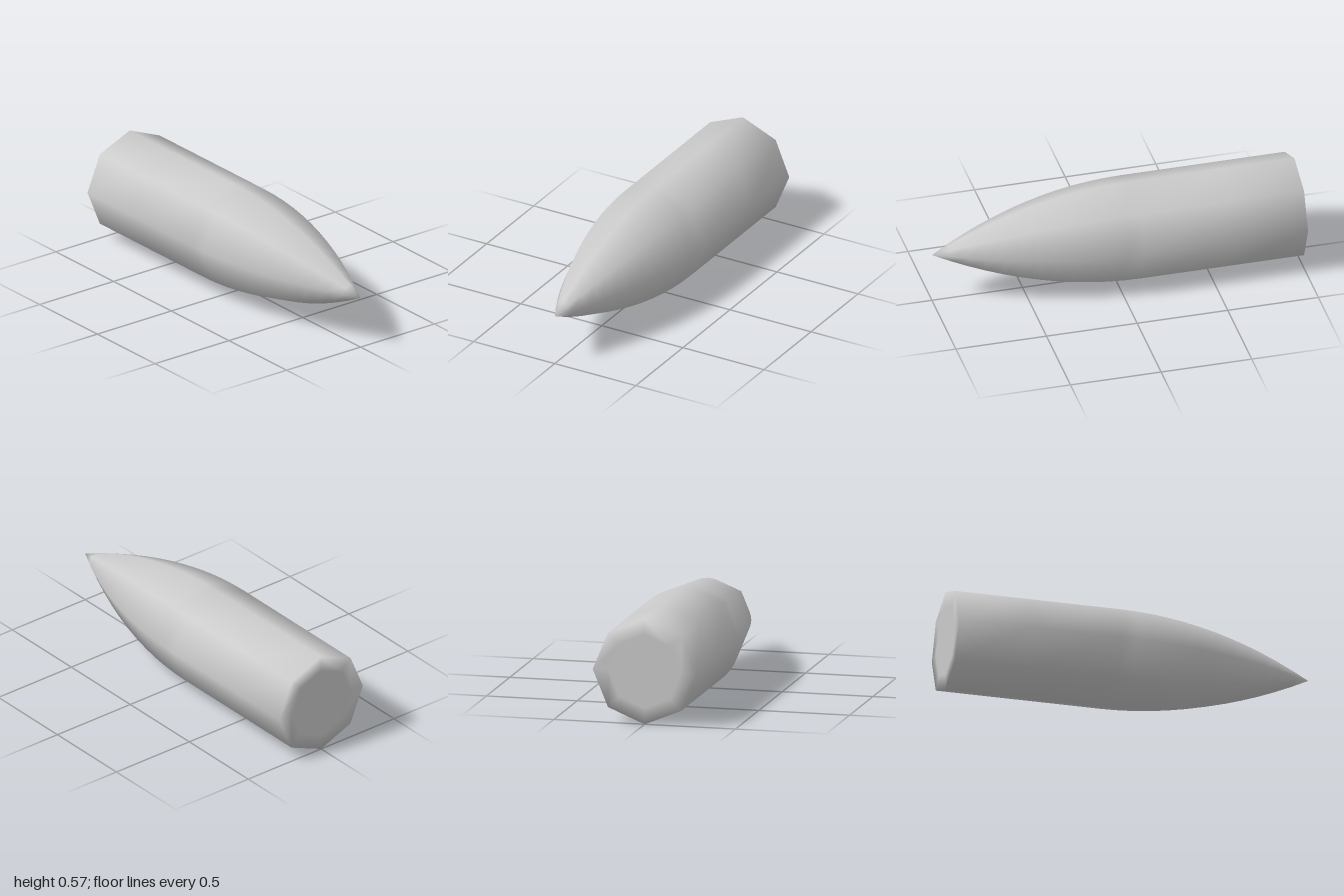
import * as THREE from 'three';
import { mergeVertices } from 'three/addons/utils/BufferGeometryUtils.js';

const R = 0.286;         // body radius
const SHOULDER = -0.1;   // z where the nose begins to taper
const SIDES = 8;
const NOSE_STEPS = 12;

export function createModel() {
  const group = new THREE.Group();
  group.name = 'bullet';

  // Profile from the centre of the flat base to the pointed tip
  const profile = [
    new THREE.Vector2(0, -1),
    new THREE.Vector2(R * 0.7, -1),
    new THREE.Vector2(R, -1),
    new THREE.Vector2(R, -0.6),
  ];
  // Curved nose, tangent to the straight body at the shoulder
  for (let i = 0; i <= NOSE_STEPS; i++) {
    const t = i / NOSE_STEPS;
    profile.push(new THREE.Vector2(R * (1 - t * t), SHOULDER + t * (1 - SHOULDER)));
  }

  // Eight-sided lathe with shared vertices, so shading flows over the base rim
  let geometry = new THREE.LatheGeometry(profile, SIDES);
  geometry.deleteAttribute('normal');
  geometry.deleteAttribute('uv');
  geometry = mergeVertices(geometry, 1e-4);
  geometry.computeVertexNormals();
  geometry.rotateX(Math.PI / 2);   // tip towards +z
  geometry.translate(0, R, 0);

  const body = new THREE.Mesh(geometry, new THREE.MeshStandardMaterial({ color: 0xcccccc }));
  body.name = 'bulletBody';
  group.add(body);
  return group;
}
